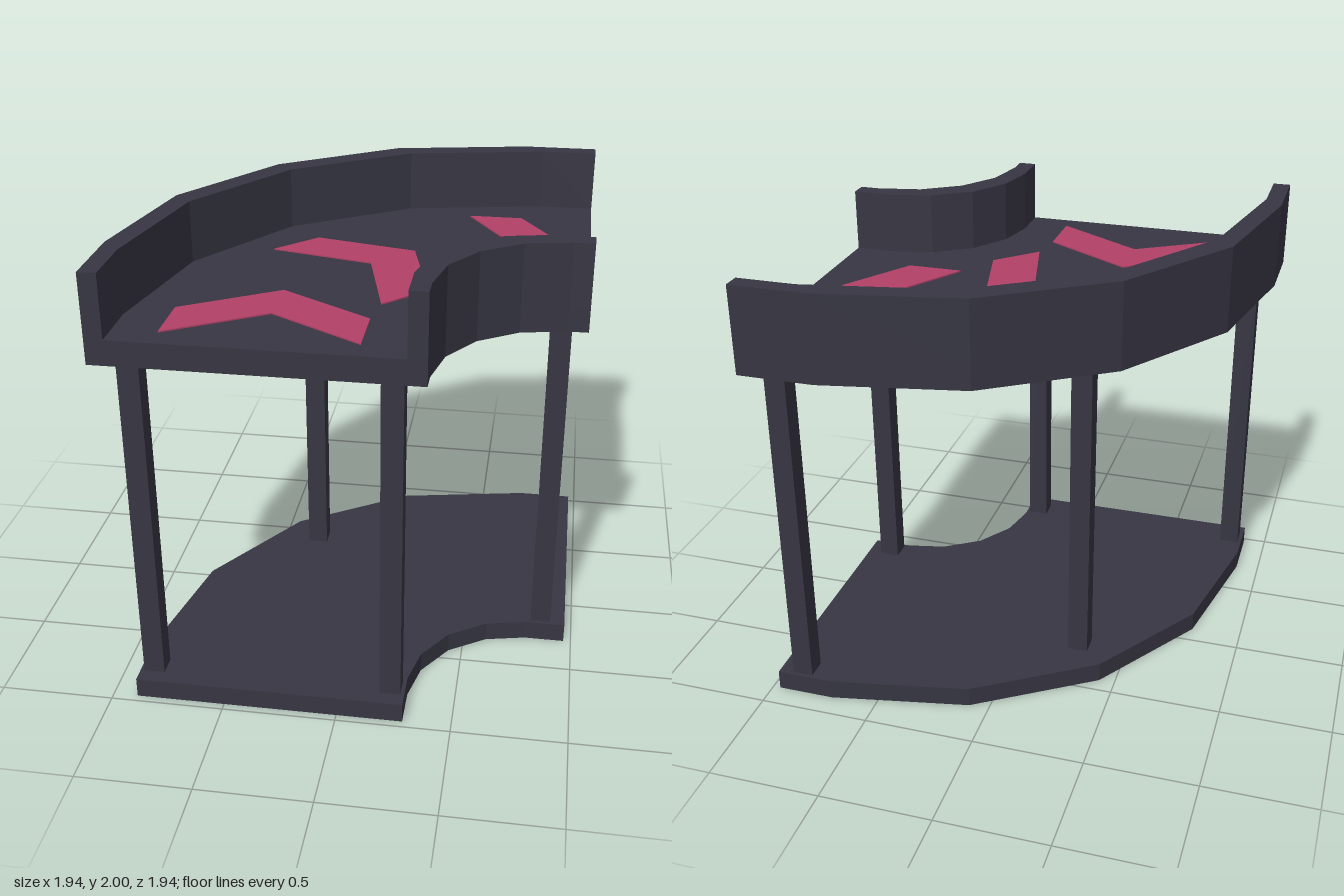
import * as THREE from 'three';

// Half of each curved edge as [x, z]; the other half mirrors across the x = z diagonal.
const mirrored = (half) => [...half, ...half.slice().reverse().map(([x, z]) => [z, x])];
const outerRim = mirrored([[-0.97, 0.966], [-0.97, 0.632], [-0.848, 0.017], [-0.5, -0.503]]
  .slice(0, 4)).filter((p, i) => i !== 4);
const END = 0.966;
const outerEdge = mirrored([[-0.97, END], [-0.97, 0.632], [-0.848, 0.017]]);
outerEdge.splice(3, 0, [-0.502, -0.502]);
const outerInside = mirrored([[-0.892, END], [-0.892, 0.71], [-0.77, 0.092]]);
outerInside.splice(3, 0, [-0.428, -0.428]);
const innerEdge = mirrored([[0.367, END], [0.367, 0.88], [0.407, 0.685]]);
innerEdge.splice(3, 0, [0.518, 0.518]);
const innerInside = mirrored([[0.289, END], [0.289, 0.785], [0.329, 0.605]]);
innerInside.splice(3, 0, [0.439, 0.439]);

// Closed plan shape between two edges, raised from y0 to y1
function slab(name, points, y0, y1, material) {
  const shape = new THREE.Shape(points.map(([x, z]) => new THREE.Vector2(x, -z)));
  const geometry = new THREE.ExtrudeGeometry(shape, { depth: y1 - y0, bevelEnabled: false });
  geometry.rotateX(-Math.PI / 2);
  const mesh = new THREE.Mesh(geometry, material);
  mesh.name = name;
  mesh.position.y = y0;
  return mesh;
}

const between = (a, b) => [...a, ...b.slice().reverse()];

export function createModel() {
  const model = new THREE.Group();
  model.name = 'curvedTrackCorner';

  const dark = new THREE.MeshStandardMaterial({ color: 0x363542 });
  dark.name = 'dark slate';
  const pink = new THREE.MeshStandardMaterial({ color: 0xb24167 });
  pink.name = 'raspberry';

  // Base plate, raised deck and the two side walls
  model.add(
    slab('basePlate', between(outerInside, innerInside), 0, 0.09, dark),
    slab('deck', between(outerEdge, innerEdge), 1.615, 1.725, dark),
    slab('outerWall', between(outerEdge, outerInside), 1.725, 2, dark),
    slab('innerWall', between(innerInside, innerEdge), 1.725, 2, dark),
  );

  // Support posts
  const postGeometry = new THREE.BoxGeometry(0.092, 1.535, 0.092);
  for (const [x, z] of [[-0.828, 0.853], [0.226, 0.853], [0.853, 0.226], [0.853, -0.828], [-0.301, -0.301]]) {
    const post = new THREE.Mesh(postGeometry, dark);
    post.name = 'post';
    post.position.set(x, 0.0875 + 1.535 / 2, z);
    model.add(post);
  }

  // Direction chevrons, each turned a further 45 degrees around the bend
  const chevron = [[0, 0], [-0.245, -0.4], [0, -0.4], [0.247, 0], [0, 0.4], [-0.245, 0.4]];
  [[-0.302, 0.62], [0.01, 0.005], [0.637, -0.285]].forEach(([x, z], i) => {
    const arrow = slab('chevron', chevron, 1.725, 1.731, pink);
    arrow.position.x = x;
    arrow.position.z = z;
    arrow.rotation.y = Math.PI / 2 - i * Math.PI / 4;
    model.add(arrow);
  });

  return model;
}
